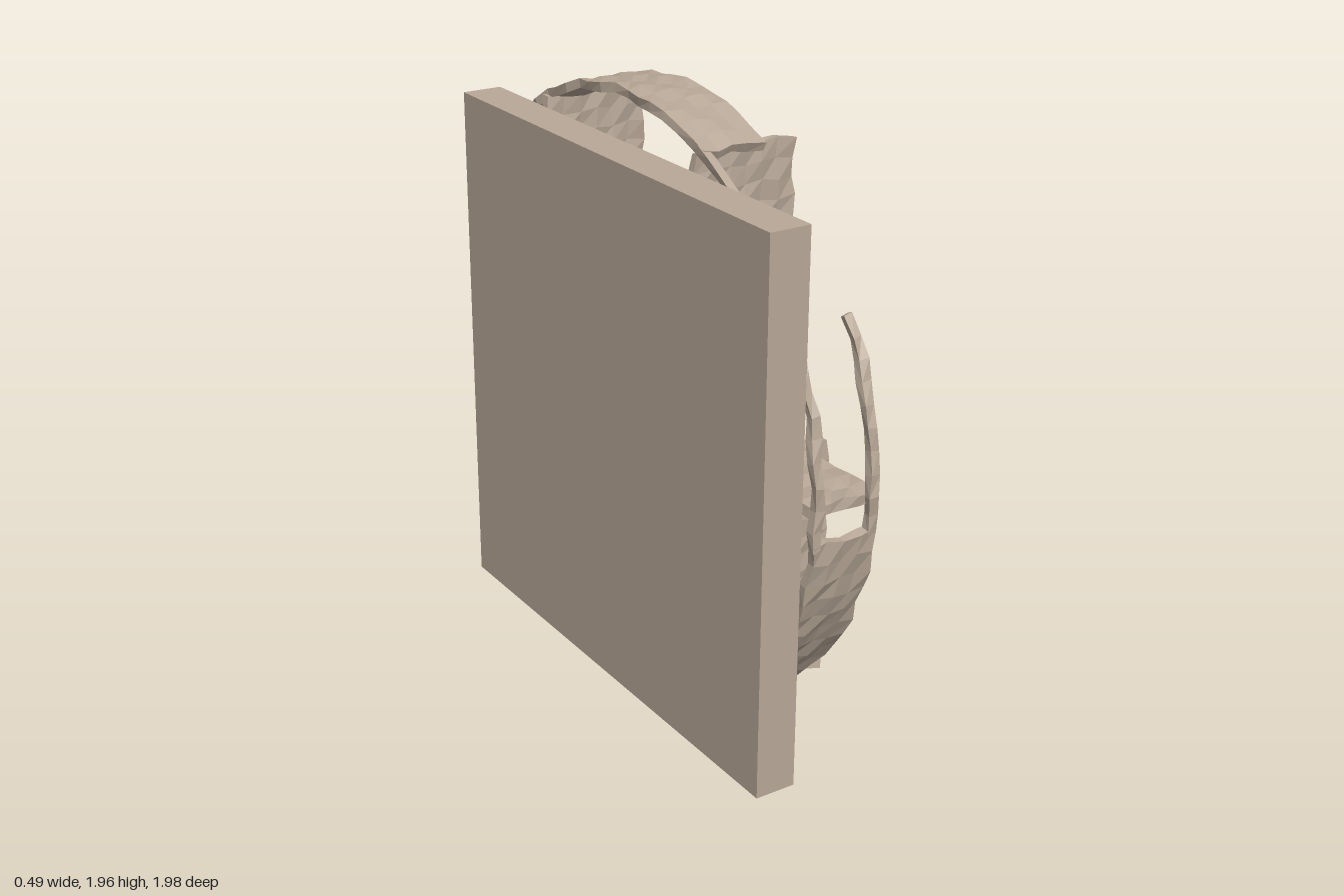
import * as THREE from 'three';

const material = new THREE.MeshStandardMaterial({ color: 0xb8a898, flatShading: true });

// Gentle uneven surface, driven by position so seams stay closed
function roughen(geo, amp) {
  const p = geo.attributes.position;
  for (let i = 0; i < p.count; i++) {
    const x = p.getX(i), y = p.getY(i), z = p.getZ(i);
    p.setXYZ(i,
      x + amp * Math.sin(31 * y + 23 * z + 17 * x),
      y + amp * Math.sin(27 * z - 37 * x + 19 * y),
      z + amp * Math.sin(29 * y + 41 * x - 13 * z));
  }
  geo.computeVertexNormals();
  return geo;
}

export function createModel() {
  const group = new THREE.Group();

  const add = (name, geo) => {
    const mesh = new THREE.Mesh(geo, material);
    mesh.name = name;
    group.add(mesh);
  };

  // Worn slab given by its limits on each axis
  const slab = (name, [x0, x1], [y0, y1], [z0, z1], amp = 0.006) => {
    const n = (d) => Math.max(1, Math.round(d / 0.06));
    const geo = new THREE.BoxGeometry(x1 - x0, y1 - y0, z1 - z0, n(x1 - x0), n(y1 - y0), n(z1 - z0));
    geo.translate((x0 + x1) / 2, (y0 + y1) / 2, (z0 + z1) / 2);
    add(name, roughen(geo, amp));
  };

  // Band bent round the rim; angles in degrees from the front, rising over the top
  const band = (name, a0, a1, x0, x1, thickness) => {
    const geo = new THREE.BoxGeometry(x1 - x0, thickness, 1,
      Math.max(1, Math.round((x1 - x0) / 0.055)), 1, Math.max(4, Math.round((a1 - a0) / 4)));
    const p = geo.attributes.position;
    for (let i = 0; i < p.count; i++) {
      const a = THREE.MathUtils.degToRad(a0 + (a1 - a0) * (0.5 - p.getZ(i)));
      const r = p.getY(i) - thickness / 2;
      p.setXYZ(i, p.getX(i) + (x0 + x1) / 2,
        0.98 + (0.972 + r) * Math.sin(a), (0.985 + r) * Math.cos(a));
    }
    add(name, roughen(geo, 0.006));
  };

  // Flat square back panel
  const panel = new THREE.BoxGeometry(0.13, 1.7, 1.67);
  panel.translate(-0.185, 0.95, 0.105);
  add('backPanel', panel);

  // Round rim, broken at the upper front into thin strands
  band('rim', 65, 354, -0.105, 0.11, 0.028);
  band('rimStrandRight', -7, 67, -0.11, -0.08, 0.025);
  band('rimStrandLeft', -7, 31, 0.08, 0.11, 0.025);

  // Upright dividers
  slab('upperFrontDivider', [-0.11, 0.23], [0.97, 1.85], [0.362, 0.386]);
  slab('upperBackDivider', [-0.12, 0.23], [0.76, 1.83], [-0.452, -0.425]);
  slab('lowerMiddleDivider', [-0.12, 0.21], [0.04, 1.0], [-0.018, 0.026]);
  slab('lowerFrontDivider', [-0.11, 0.235], [0.21, 0.97], [0.552, 0.59]);

  // Shelf across the front half
  slab('middleShelf', [-0.105, 0.115], [0.962, 0.995], [0, 0.965]);

  // Upper shelf, with only rods left towards the back
  slab('upperShelf', [-0.1, 0.12], [1.49, 1.518], [0, 0.37]);
  for (const x of [0, 0.11]) {
    slab('upperShelfRod', [x - 0.012, x + 0.012], [1.49, 1.518], [-0.44, 0.02], 0.004);
  }

  // Lower back shelf reduced to rods, with an upturned tip
  slab('lowerShelfRodOuter', [0.085, 0.115], [0.745, 0.772], [-0.82, 0], 0.004);
  slab('lowerShelfRodInner', [-0.012, 0.012], [0.745, 0.772], [-0.46, 0], 0.004);
  const tip = new THREE.CatmullRomCurve3([
    new THREE.Vector3(0.1, 0.755, -0.79), new THREE.Vector3(0.1, 0.775, -0.815),
    new THREE.Vector3(0.1, 0.86, -0.835)]);
  add('lowerShelfTip', new THREE.TubeGeometry(tip, 6, 0.012, 5));

  return group;
}
